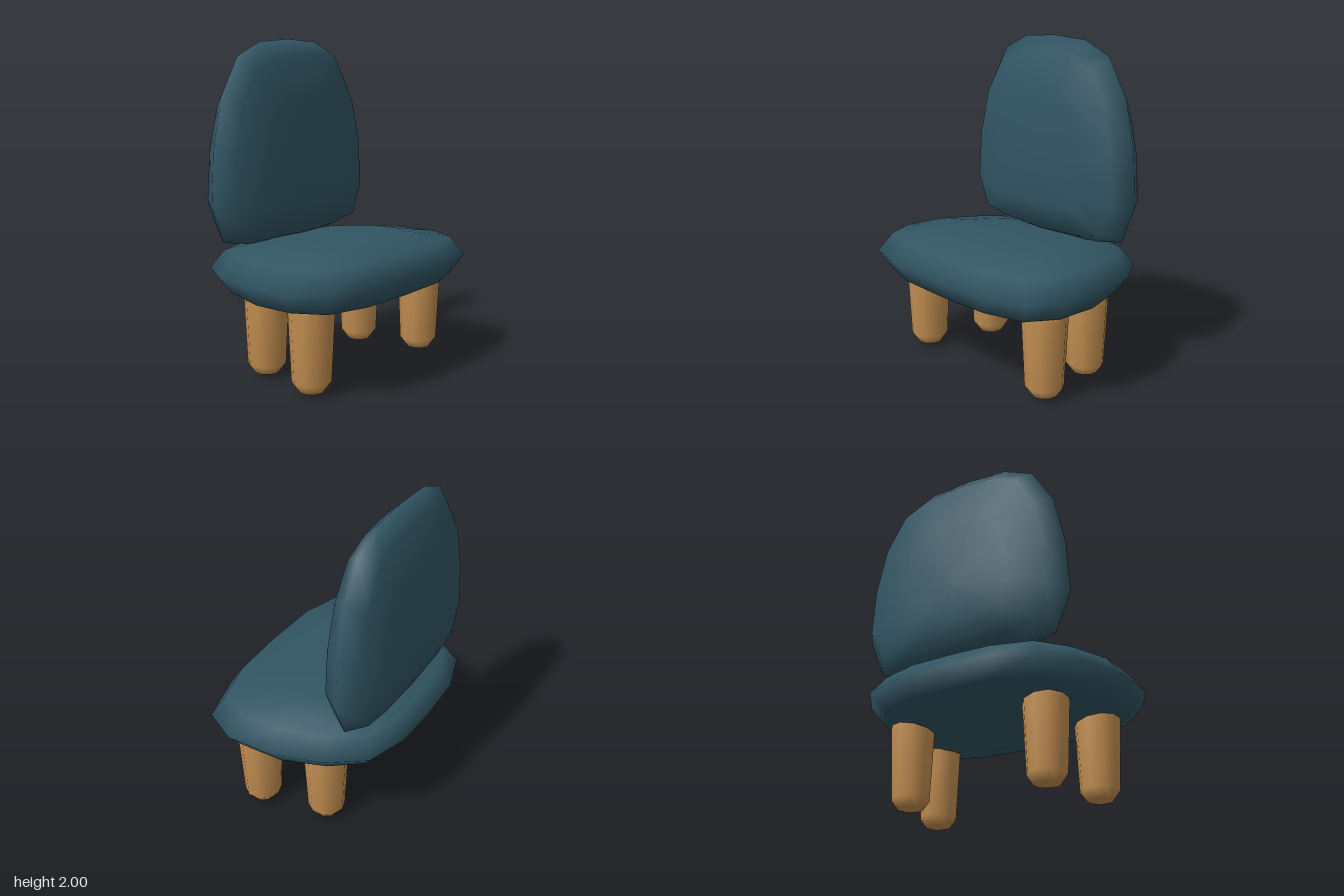
import * as THREE from 'three';

// Smooth cushion: an outline (right half, mirrored) stacked in scaled rings.
// place(u, v, h) puts outline coordinates and signed half-thickness in space.
function cushion(half, place, halfThickness, material, name) {
  const outline = [...half, ...half.slice(1, -1).reverse().map(([u, v]) => [-u, v])];
  const n = outline.length;
  const rings = [[0.52, -0.95], [0.88, -0.68], [1, 0], [0.88, 0.68], [0.52, 0.95]];
  const positions = [];
  const index = [];
  for (const [s, h] of rings) {
    for (const [u, v] of outline) positions.push(...place(u * s, v * s, h * halfThickness));
  }
  const low = rings.length * n;
  const high = low + 1;
  positions.push(...place(0, 0, -halfThickness), ...place(0, 0, halfThickness));
  for (let j = 0; j < n; j++) {
    const k = (j + 1) % n;
    for (let i = 0; i < rings.length - 1; i++) {
      const a = i * n + j, b = i * n + k;
      index.push(a, b, b + n, a, b + n, a + n);
    }
    const top = (rings.length - 1) * n;
    index.push(low, k, j, high, top + j, top + k);
  }
  const geometry = new THREE.BufferGeometry();
  geometry.setAttribute('position', new THREE.Float32BufferAttribute(positions, 3));
  geometry.setIndex(index);
  geometry.computeVertexNormals();
  const mesh = new THREE.Mesh(geometry, material);
  mesh.name = name;
  return mesh;
}

export function createModel() {
  const group = new THREE.Group();
  group.name = 'chair';
  const fabric = new THREE.MeshStandardMaterial({ color: 0x315563 });
  fabric.name = 'teal fabric';
  const wood = new THREE.MeshStandardMaterial({ color: 0xc28e50 });
  wood.name = 'light wood';

  // Seat: narrower and slightly thinner towards the back
  const seatOutline = [
    [0, 0.605], [0.42, 0.59], [0.71, 0.505], [0.82, 0.295], [0.81, 0],
    [0.71, -0.3], [0.56, -0.51], [0.3, -0.595], [0, -0.605],
  ];
  group.add(cushion(seatOutline,
    (x, z, h) => [x, 0.645 + h * (1 - 0.33 * Math.max(0, -z)), z],
    0.18, fabric, 'seat'));

  // Backrest: upright cushion thinning towards its rounded top
  const backOutline = [
    [0, 0.755], [0.35, 0.77], [0.59, 0.815], [0.685, 1.04], [0.665, 1.36],
    [0.595, 1.67], [0.455, 1.9], [0.26, 1.985], [0, 2],
  ].map(([x, y]) => [x, y - 1.2]);
  group.add(cushion(backOutline,
    (x, y, h) => [x, 1.2 + y, -0.36 + h * (1 - 0.28 * Math.max(0, y))],
    0.17, fabric, 'backrest'));

  // Legs: tapered pegs with rounded feet
  const legProfile = [
    [0, 0.005], [0.075, 0.025], [0.115, 0.08], [0.135, 0.5], [0.12, 0.56], [0, 0.6],
  ].map(([r, y]) => new THREE.Vector2(r, y));
  const legGeometry = new THREE.LatheGeometry(legProfile, 10);
  const legs = [
    ['frontLeftLeg', 0.58, 0.245], ['frontRightLeg', -0.525, 0.245],
    ['backLeftLeg', 0.49, -0.17], ['backRightLeg', -0.42, -0.185],
  ];
  for (const [name, x, z] of legs) {
    const leg = new THREE.Mesh(legGeometry, wood);
    leg.name = name;
    leg.position.set(x, 0, z);
    group.add(leg);
  }
  return group;
}
